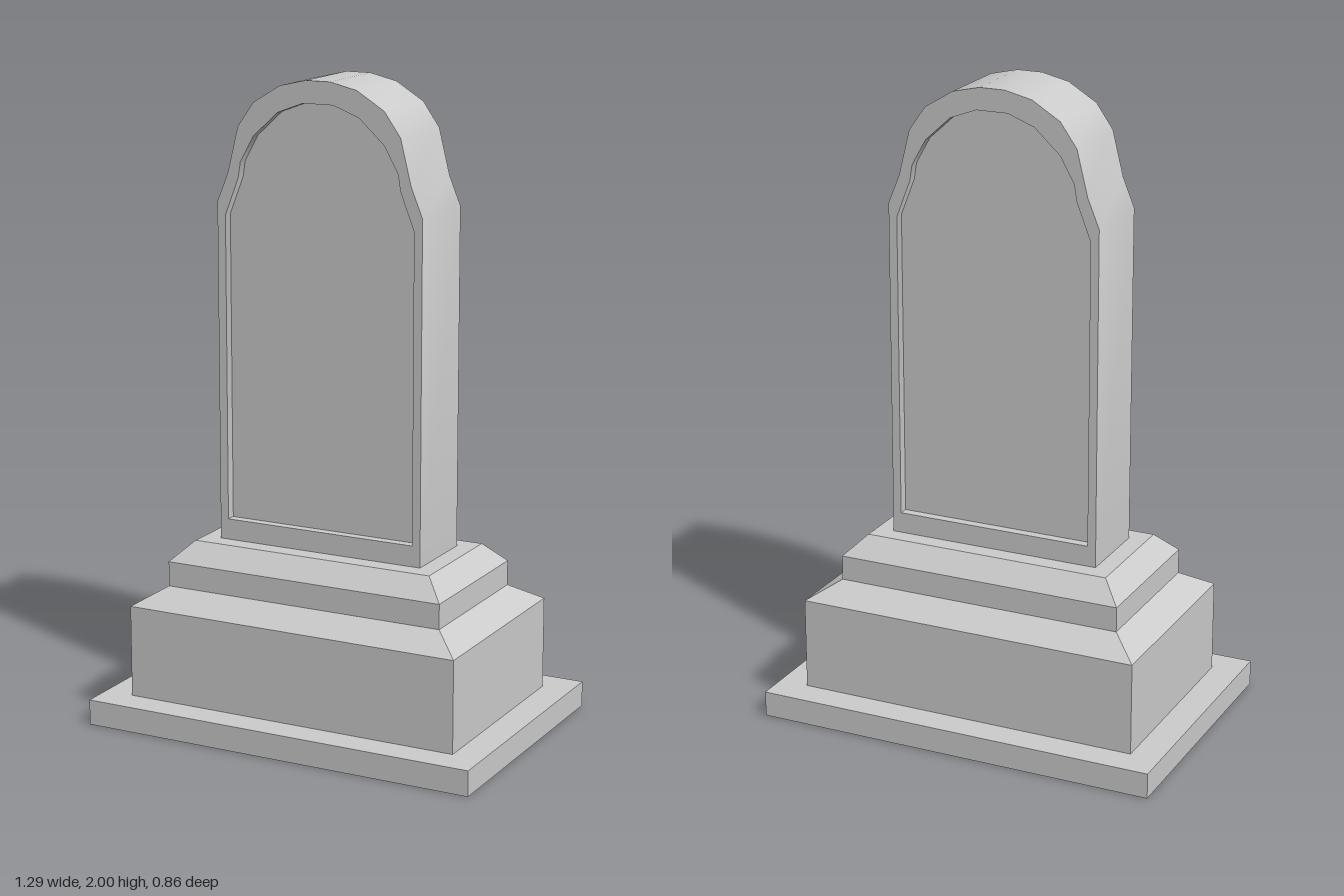
import * as THREE from 'three';
import { toCreasedNormals } from 'three/addons/utils/BufferGeometryUtils.js';

const stone = new THREE.MeshStandardMaterial({ color: 0xcccccc });
const shellStone = new THREE.MeshStandardMaterial({ color: 0xcccccc, side: THREE.DoubleSide });

// Mirrors the right half of an outline (bottom to top) into a closed list of points
function mirrored(half) {
  const right = half.map(([x, y]) => new THREE.Vector2(x, y));
  const left = half.map(([x, y]) => new THREE.Vector2(-x, y)).reverse();
  return [...right, ...left];
}

// Extrudes a shape centred on z = 0, smoothing the arch but keeping the edges sharp
function slab(shape, depth) {
  const geometry = new THREE.ExtrudeGeometry(shape, { depth, bevelEnabled: false });
  geometry.translate(0, 0, -depth / 2);
  return toCreasedNormals(geometry, 0.65);
}

// Joins rectangular rings [halfWidth, halfDepth, y] into an open flat-faced shell
function steppedShell(rings) {
  const corners = [[1, 1], [1, -1], [-1, -1], [-1, 1]];
  const point = ([w, d, y], k) => [corners[k % 4][0] * w, y, corners[k % 4][1] * d];
  const positions = [];
  for (let i = 0; i < rings.length - 1; i++) {
    for (let k = 0; k < 4; k++) {
      const a = point(rings[i], k), b = point(rings[i], k + 1);
      const c = point(rings[i + 1], k + 1), d = point(rings[i + 1], k);
      positions.push(...a, ...b, ...c, ...a, ...c, ...d);
    }
  }
  const geometry = new THREE.BufferGeometry();
  geometry.setAttribute('position', new THREE.Float32BufferAttribute(positions, 3));
  geometry.computeVertexNormals();
  return geometry;
}

export function createModel() {
  const group = new THREE.Group();
  const add = (name, geometry, material) => {
    const mesh = new THREE.Mesh(geometry, material);
    mesh.name = name;
    group.add(mesh);
  };

  // Hollow stepped pedestal, open underneath
  add('pedestal', steppedShell([
    [0.645, 0.43, 0], [0.645, 0.43, 0.08],
    [0.55, 0.333, 0.08], [0.55, 0.333, 0.37],
    [0.462, 0.247, 0.425], [0.462, 0.247, 0.503],
    [0.40, 0.188, 0.565], [0.34, 0.13, 0.565],
  ]), shellStone);

  // Arched tablet: a raised rim around a panel sunk into both faces
  const outer = mirrored([
    [0.342, 0.565], [0.342, 1.62], [0.305, 1.71], [0.27, 1.85],
    [0.217, 1.925], [0.127, 1.98], [0.04, 2],
  ]);
  const inner = mirrored([
    [0.315, 0.63], [0.315, 1.58], [0.27, 1.695], [0.262, 1.745],
    [0.217, 1.825], [0.135, 1.9], [0.05, 1.932],
  ]);
  const rim = new THREE.Shape(outer);
  rim.holes.push(new THREE.Path(inner));
  add('tabletRim', slab(rim, 0.26), stone);
  add('tabletPanel', slab(new THREE.Shape(inner), 0.2), stone);

  return group;
}
